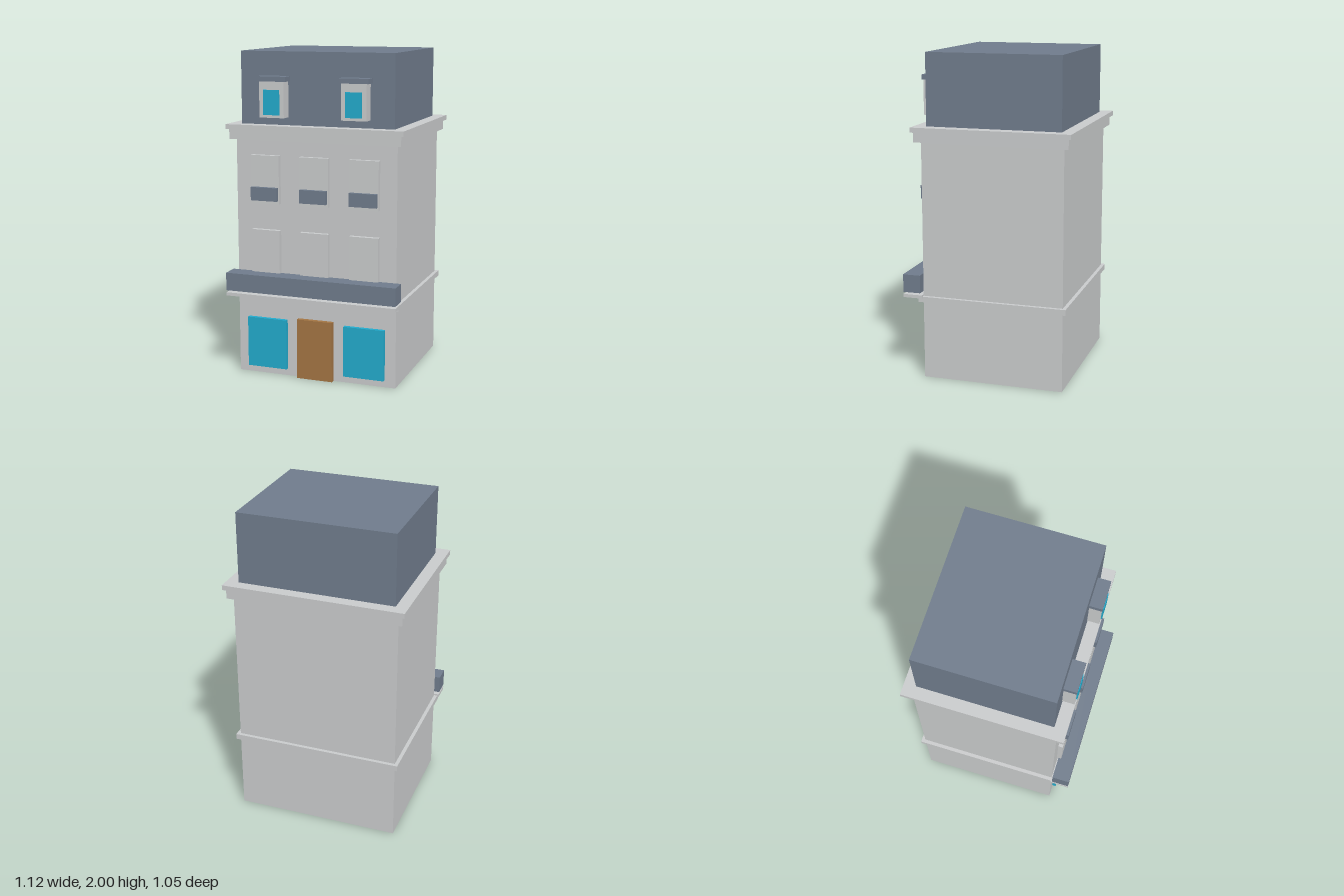
import * as THREE from 'three';

const paint = (name, color) => {
  const m = new THREE.MeshStandardMaterial({ color });
  m.name = name;
  return m;
};

export function createModel() {
  const stone = paint('stone', 0xc8cacb);
  const slate = paint('slate', 0x6f7b8b);
  const glass = paint('glass', 0x22a9cb);
  const wood = paint('wood', 0xa27443);

  const model = new THREE.Group();
  model.name = 'townhouse';

  // Box given by its centre x, width, and its y and z ranges
  const block = (name, material, x, width, [y0, y1], [z0, z1], parent = model) => {
    const mesh = new THREE.Mesh(new THREE.BoxGeometry(width, y1 - y0, z1 - z0), material);
    mesh.position.set(x, (y0 + y1) / 2, (z0 + z1) / 2);
    mesh.name = name;
    parent.add(mesh);
  };
  const group = (name) => {
    const g = new THREE.Group();
    g.name = name;
    model.add(g);
    return g;
  };

  // Main volume, string course, stepped cornice and roof block
  const wall = 0.405;
  block('walls', stone, 0, 1.022, [0, 1.48], [-0.472, wall]);
  block('stringCourse', stone, 0, 1.066, [0.487, 0.522], [-0.494, 0.432]);
  block('lowerCornice', stone, 0, 1.085, [1.472, 1.532], [-0.505, 0.443]);
  block('upperCornice', stone, 0, 1.12, [1.532, 1.562], [-0.523, 0.456]);
  block('roof', slate, 0, 0.97, [1.562, 2], [-0.45, 0.38]);

  // Ground floor
  block('door', wood, 0, 0.228, [0, 0.376], [wall, 0.434]);
  for (const side of [-1, 1]) {
    block('shopWindow', glass, side * 0.315, 0.257, [0.045, 0.36], [wall, 0.43]);
  }

  // Balcony across the front
  const balcony = group('balcony');
  block('balconySlab', stone, 0, 1.085, [0.512, 0.532], [wall, 0.525], balcony);
  block('balconyRailing', slate, 0, 1.085, [0.545, 0.656], [0.416, 0.525], balcony);

  // Two rows of window panels, the upper row with planters
  for (const x of [-0.315, 0, 0.315]) {
    block('lowerWindow', stone, x, 0.182, [0.627, 0.922], [wall, 0.434]);
    block('upperWindow', stone, x, 0.182, [1.085, 1.38], [wall, 0.434]);
    block('windowPlanter', slate, x, 0.17, [1.105, 1.187], [0.434, 0.457]);
  }

  // Dormers
  for (const x of [-0.258, 0.258]) {
    const dormer = group('dormer');
    block('dormerBody', stone, x, 0.157, [1.61, 1.825], [0.36, 0.453], dormer);
    block('dormerCap', slate, x, 0.183, [1.825, 1.855], [0.36, 0.459], dormer);
    block('dormerGlass', glass, x, 0.102, [1.627, 1.776], [0.453, 0.461], dormer);
  }

  return model;
}
